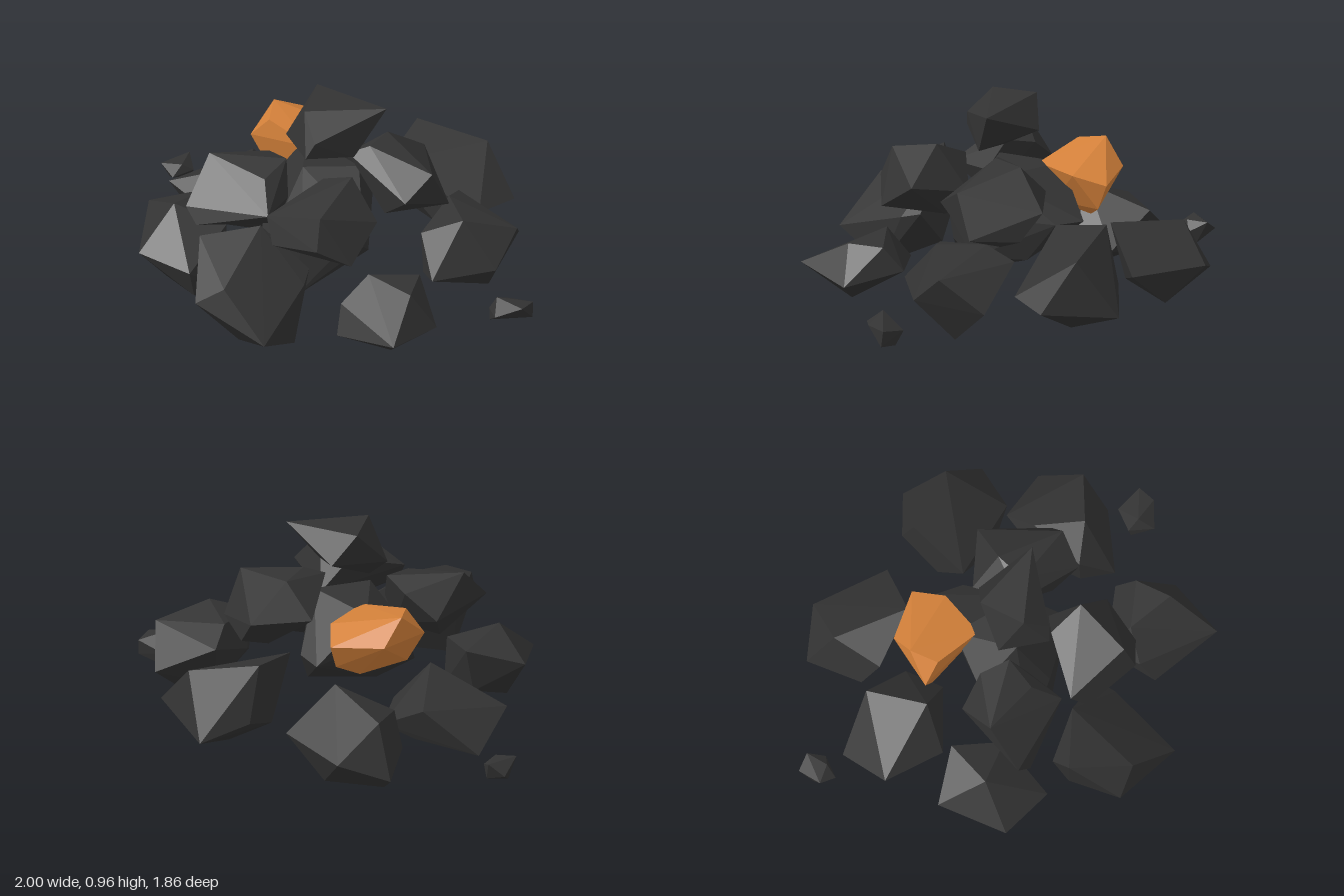
import * as THREE from 'three';
import { ConvexGeometry } from 'three/addons/geometries/ConvexGeometry.js';

const coal = new THREE.MeshStandardMaterial({ color: 0x333333, flatShading: true });
coal.name = 'coal';
const copper = new THREE.MeshStandardMaterial({ color: 0xd4813a, flatShading: true });
copper.name = 'copperOre';

// A faceted rock: the convex hull of a few corner points
function rock(group, name, material, corners) {
  const points = corners.map(([x, y, z]) => new THREE.Vector3(x, y, z));
  const mesh = new THREE.Mesh(new ConvexGeometry(points), material);
  mesh.name = name;
  group.add(mesh);
}

export function createModel() {
  const pile = new THREE.Group();
  pile.name = 'rockPile';

  // Core that the upper rocks lean on
  rock(pile, 'coreRock', coal, [
    [0, .4, -.4], [.1, .4, -.3], [-.2, .6, -.2], [-.35, .44, 0], [-.33, .13, .26], [.17, .4, .22], [.17, .28, .2],
    [.17, .2, .1], [-.14, 0, .27], [-.12, .3, .26], [.1, .6, 0], [-.15, .62, .1], [.1, .2, -.15]]);

  // Ring of ground rocks
  rock(pile, 'backRock', coal, [
    [-.22, .18, -.935], [-.46, .08, -.855], [.085, .19, -.69], [-.11, .37, -.49], [-.4, .27, -.5],
    [-.455, .11, -.57], [-.38, .33, -.75], [-.12, 0, -.77], [-.41, 0, -.77], [-.15, .08, -.55]]);
  rock(pile, 'backLeftRock', coal, [
    [.26, .22, -.695], [.48, .14, -.795], [.735, .2, -.5], [.575, .43, -.615], [.23, .5, -.62],
    [.61, .22, -.31], [.145, .42, -.32], [.4, .02, -.51], [.2, .12, -.48], [.4, .15, -.29]]);
  rock(pile, 'leftRock', coal, [
    [.865, .35, -.03], [.63, .43, .09], [.51, .42, -.12], [.82, .19, -.245], [.52, .36, -.27], [.8, .2, .13],
    [.53, .2, .295], [.44, .37, .15], [.72, 0, -.05], [.45, .15, .15], [.42, .25, -.03], [.55, .08, -.1]]);
  rock(pile, 'frontLeftRock', coal, [
    [.27, .33, .5], [.5, .315, .42], [.5, .31, .6], [.47, .2, .325], [.62, .13, .57], [.48, .17, .855],
    [.16, .21, .6], [.16, .08, .68], [.17, .16, .42], [.28, .01, .6], [.41, 0, .62]]);
  rock(pile, 'frontRightRock', coal, [
    [-.54, .46, .56], [-.27, .49, .45], [-.135, .125, .925], [-.5, .24, .81], [-.36, .34, .81], [-.03, .29, .46],
    [-.03, .26, .56], [-.05, 0, .67], [-.31, .01, .72], [-.46, .04, .52], [-.2, .1, .42], [-.49, .3, .45]]);
  rock(pile, 'rightFrontRock', coal, [
    [-.915, .28, .05], [-.64, .35, -.01], [-.75, .395, .22], [-.5, .3, .2], [-.6, .03, .43],
    [-.61, .18, .48], [-.88, .2, .39], [-.78, 0, .25], [-.47, 0, .27], [-.66, .1, .06]]);
  rock(pile, 'rightBackRock', coal, [
    [-.81, .07, -.5], [-.54, .28, -.505], [-.32, .13, -.4], [-.33, .17, -.2], [-.51, .38, -.2],
    [-.63, .17, -.06], [-.89, .21, -.24], [-.74, 0, -.25], [-.44, 0, -.25], [-.48, .08, -.42]]);

  // Upper rocks
  rock(pile, 'upperRightRock', coal, [
    [-.59, .675, .17], [-.23, .655, .1], [-.5, .5, -.02], [-.34, .62, 0], [-.2, .5, .19], [-.25, .5, .385],
    [-.6, .4, .385], [-.66, .475, .35], [-.25, .35, .2], [-.47, .32, .18], [-.3, .62, .25]]);
  rock(pile, 'upperLeftRock', coal, [
    [.05, .68, .02], [.15, .715, -.01], [.2, .71, -.16], [.47, .64, .05], [.53, .43, -.04], [.335, .55, -.335],
    [.06, .55, -.23], [.37, .54, .18], [.4, .41, -.245], [.25, .42, .1], [.3, .33, -.1]]);
  rock(pile, 'upperFrontRock', coal, [
    [.14, .735, .3], [-.02, .65, .22], [.05, .65, .57], [.28, .545, .37], [.2, .4, .56], [.05, .5, .63],
    [-.2, .42, .5], [-.245, .535, .43], [-.05, .36, .45], [.1, .37, .27], [.1, .5, .15]]);
  rock(pile, 'topRock', coal, [
    [-.13, .965, -.1], [-.135, .955, .13], [.235, .945, 0], [-.02, .82, -.16], [.1, .715, .1],
    [-.15, .668, .075], [-.245, .76, .05], [-.1, .765, .25], [-.06, .84, .23]]);

  // Coloured rock resting on the back
  rock(pile, 'oreRock', copper, [
    [-.4, .685, -.34], [-.34, .57, -.455], [-.085, .56, -.48], [-.05, .6, -.32], [-.15, .6, -.1],
    [-.39, .66, -.2], [-.485, .55, -.22], [-.1, .43, -.43], [-.2, .36, -.35], [-.4, .39, -.22], [-.2, .4, -.16]]);

  // Loose pebbles
  rock(pile, 'leftPebble', coal, [
    [.795, .06, .24], [.87, .07, .15], [.84, .145, .27], [1, .1, .2], [.97, .11, .29], [.85, .08, .35],
    [.8, 0, .25], [1, .02, .21], [.9, 0, .18]]);
  rock(pile, 'rightPebble', coal, [
    [-1, .11, -.53], [-.97, .06, -.655], [-.89, .115, -.65], [-.85, .07, -.57], [-.93, .07, -.48],
    [-.97, .01, -.58], [-.87, .01, -.6], [-.9, .11, -.54]]);

  return pile;
}
